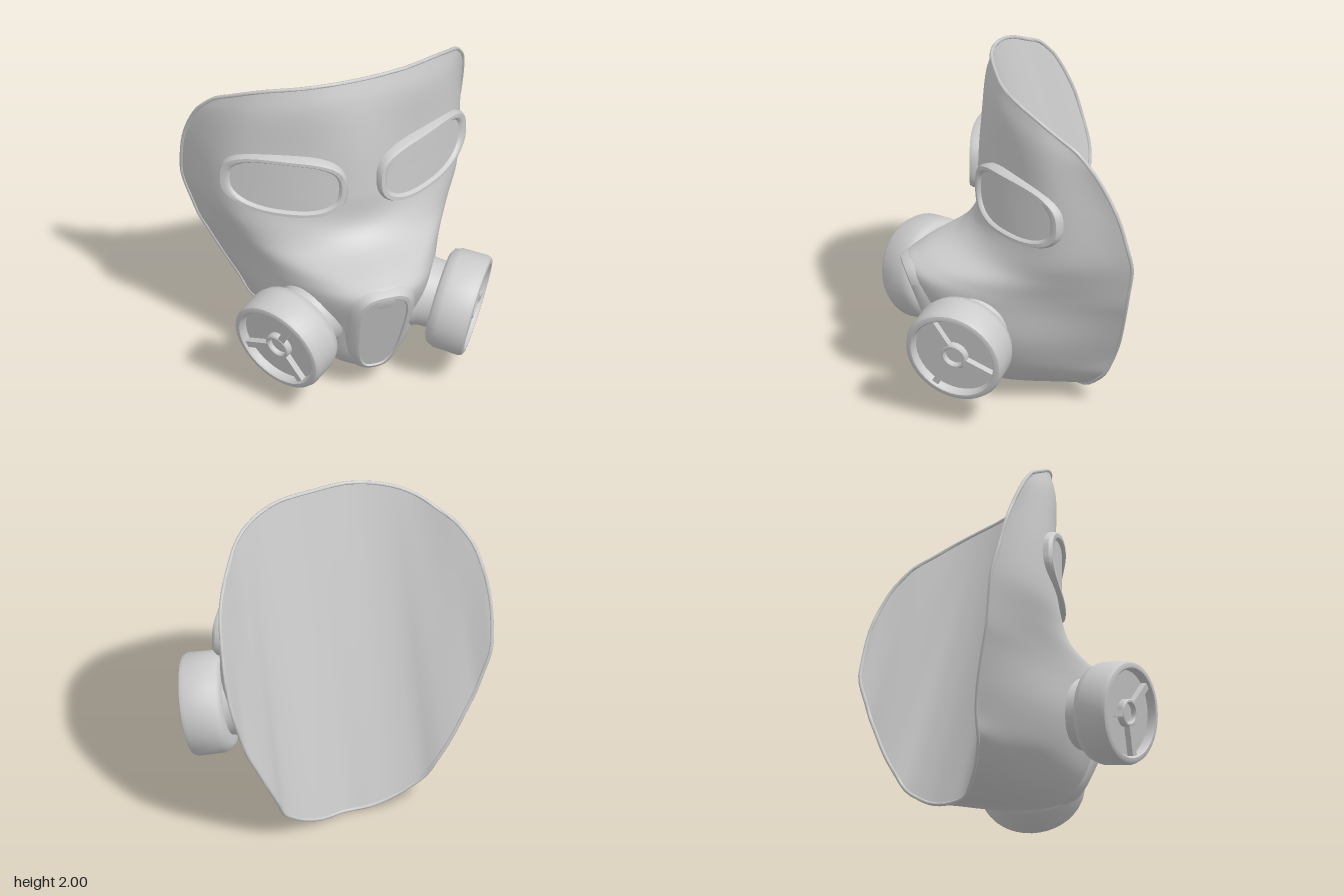
import * as THREE from 'three';
import { toCreasedNormals } from 'three/addons/utils/BufferGeometryUtils.js';

const V = (x, y, z) => new THREE.Vector3(x, y, z);
const material = new THREE.MeshStandardMaterial({ color: 0xcccccc, side: THREE.DoubleSide });

function mesh(name, geometry, crease = 0.7) {
  const m = new THREE.Mesh(toCreasedNormals(geometry, crease), material);
  m.name = name;
  return m;
}

// Skin a grid of points (rows of equal length)
function skin(rows) {
  const n = rows[0].length, index = [];
  for (let i = 0; i < rows.length - 1; i++) {
    for (let j = 0; j < n - 1; j++) {
      const a = i * n + j, b = a + n;
      index.push(a, b, a + 1, b, b + 1, a + 1);
    }
  }
  const g = new THREE.BufferGeometry().setFromPoints(rows.flat());
  g.setIndex(index);
  return g;
}

// Half cross-sections from brow to chin: centre, front cheek, side cheek, rim
const sections = [
  [[0, 1.99, 0.045], [0.28, 1.985, 0.02], [0.54, 1.93, -0.11], [0.74, 1.79, -0.325]],
  [[0, 1.85, 0.09], [0.3, 1.84, 0.05], [0.6, 1.78, -0.12], [0.81, 1.67, -0.42]],
  [[0, 1.55, 0.13], [0.35, 1.53, 0.03], [0.67, 1.5, -0.17], [0.85, 1.42, -0.54]],
  [[0, 1.25, 0.145], [0.35, 1.25, 0.035], [0.69, 1.24, -0.185], [0.845, 1.2, -0.6]],
  [[0, 1.05, 0.155], [0.35, 1.05, 0.07], [0.67, 1.05, -0.16], [0.825, 1.06, -0.63]],
  [[0, 0.945, 0.255], [0.3, 0.93, 0.17], [0.59, 0.91, -0.08], [0.775, 0.9, -0.62]],
  [[0, 0.87, 0.48], [0.23, 0.84, 0.42], [0.5, 0.79, 0.05], [0.73, 0.77, -0.61]],
  [[0, 0.81, 0.572], [0.215, 0.77, 0.495], [0.47, 0.7, 0.09], [0.68, 0.67, -0.605]],
  [[0, 0.5, 0.435], [0.2, 0.5, 0.39], [0.44, 0.47, 0.07], [0.58, 0.47, -0.59]],
  [[0, 0.17, 0.325], [0.18, 0.21, 0.27], [0.38, 0.27, -0.02], [0.5, 0.32, -0.56]],
  [[0, 0.06, 0.1], [0.16, 0.09, 0.04], [0.34, 0.17, -0.2], [0.46, 0.23, -0.53]],
  [[0, 0.015, -0.385], [0.15, 0.03, -0.42], [0.3, 0.09, -0.46], [0.43, 0.19, -0.51]],
];

function faceGrid(nu, nv) {
  const across = sections.map(s => {
    const right = s.map(p => V(...p));
    const left = right.slice(1).reverse().map(p => V(-p.x, p.y, p.z));
    return new THREE.CatmullRomCurve3([...left, ...right]).getPoints(nv);
  });
  const columns = across[0].map((_, j) =>
    new THREE.CatmullRomCurve3(across.map(r => r[j])).getPoints(nu));
  return columns[0].map((_, i) => columns.map(c => c[i]));
}

// Point on a polyline of increasing x
function atX(line, x) {
  const k = Math.max(1, line.findIndex(p => p.x >= x));
  const a = line[k - 1], b = line[k];
  return a.clone().lerp(b, (x - a.x) / (b.x - a.x));
}

// Concave back: straight lines from the upper rim down to the lower rim
function backSheet(halfRim) {
  const widest = halfRim.reduce((best, p, k) => (p.x > halfRim[best].x ? k : best), 0);
  const upper = halfRim.slice(0, widest + 1), lower = halfRim.slice(widest).reverse();
  const width = halfRim[widest].x * 0.9999;
  return skin(Array.from({ length: 25 }, (_, i) => Array.from({ length: 65 }, (_, j) => {
    const x = width * Math.cos(j / 64 * Math.PI), ax = Math.abs(x);
    const p = atX(upper, ax).lerp(atX(lower, ax), i / 24);
    return V(x, p.y, p.z);
  })));
}

// Rounded outline ring: steps are [half width, half height, depth]
function framedPane(steps, place, power) {
  const N = 48;
  return skin(steps.map(([a, b, d]) => Array.from({ length: N + 1 }, (_, k) => {
    const t = -(k % N) / N * Math.PI * 2, c = Math.cos(t), s = Math.sin(t);
    const x = a * Math.sign(c) * Math.abs(c) ** (2 / power);
    const y = b * Math.sign(s) * Math.abs(s) ** (2 / power);
    return place(x, y, d);
  })));
}

// Eyepiece follows the curve of the brow; depth runs along the surface normal
function eyepiece() {
  const steps = [[0.333, 0.203, -0.085], [0.335, 0.203, -0.02], [0.324, 0.193, 0], [0.3, 0.174, 0],
    [0.288, 0.165, -0.01], [0.284, 0.162, -0.022], [0.2, 0.11, -0.022], [0.1, 0.05, -0.022], [0, 0, -0.022]];
  return framedPane(steps, (x, y, d) => {
    const px = x + 0.432, slope = 0.039 + 1.248 * px, len = Math.hypot(slope, 1);
    return V(px + d * slope / len, 1.322 + y, 0.19 - 0.039 * px - 0.624 * px * px + d / len);
  }, 2.7);
}

function noseWindow() {
  const steps = [[0.2, 0.36, -0.11], [0.185, 0.352, -0.05], [0.155, 0.328, -0.006], [0.134, 0.309, 0],
    [0.129, 0.303, -0.014], [0, 0, -0.014]];
  return framedPane(steps, (x, y, d) =>
    V(x * (1 + 0.65 * y), 0.485 + y, 0.475 + 0.37 * y + d), 3);
}

function canister() {
  const g = new THREE.Group();
  const profile = [[0.27, -0.44], [0.23, -0.37], [0.203, -0.31], [0.2, -0.24], [0.25, -0.242], [0.28, -0.225],
    [0.298, -0.18], [0.302, -0.03], [0.292, -0.006], [0.278, 0], [0.262, 0], [0.252, -0.012], [0.25, -0.05], [0, -0.05]];
  g.add(mesh('canisterBody', new THREE.LatheGeometry(profile.map(p => new THREE.Vector2(...p)), 40)));

  const hub = [[0.082, -0.055], [0.082, -0.018], [0.074, -0.01], [0.064, -0.01], [0.057, -0.018], [0.057, -0.04], [0, -0.04]];
  g.add(mesh('canisterHub', new THREE.LatheGeometry(hub.map(p => new THREE.Vector2(...p)), 24)));

  // Three spokes from hub to rim
  for (const deg of [120, 238, 338]) {
    const a = deg * Math.PI / 180;
    const spoke = mesh('canisterSpoke', new THREE.BoxGeometry(0.185, 0.04, 0.042));
    spoke.position.set(Math.cos(a) * 0.165, -0.033, -Math.sin(a) * 0.165);
    spoke.rotation.y = a;
    g.add(spoke);
  }
  // Aim outward, forward and a little down
  const axis = V(0.824, -0.205, 0.528).normalize();
  const right = V(axis.z, 0, -axis.x).normalize();
  g.quaternion.setFromRotationMatrix(new THREE.Matrix4().makeBasis(right, axis, right.clone().cross(axis)));
  g.position.set(0.62, 0.465, 0.39);
  g.name = 'filterCanister';
  return g;
}

export function createModel() {
  const model = new THREE.Group();
  model.name = 'mask';

  // Shell
  const P = faceGrid(66, 48), m = P.length - 1, n = P[0].length - 1;
  const halfRim = [...P[0].slice(n / 2), ...P.slice(1, m).map(r => r[n]), ...P[m].slice(n / 2).reverse()];
  model.add(mesh('faceShell', skin(P), 1.2));
  model.add(mesh('backSheet', backSheet(halfRim), 1.2));

  // Soft lip around the rim
  const otherHalf = halfRim.slice(1, -1).reverse().map(p => V(-p.x, p.y, p.z));
  const rim = new THREE.CatmullRomCurve3([...halfRim, ...otherHalf].filter((_, k) => k % 3 === 0), true);
  model.add(mesh('rimLip', new THREE.TubeGeometry(rim, 120, 0.011, 8, true), 1.2));

  model.add(mesh('noseWindow', noseWindow()));

  // Mirrored parts
  for (const side of [1, -1]) {
    const half = new THREE.Group();
    half.name = side > 0 ? 'leftParts' : 'rightParts';
    half.add(mesh('eyepiece', eyepiece()), canister());
    half.scale.x = side;
    model.add(half);
  }
  return model;
}
